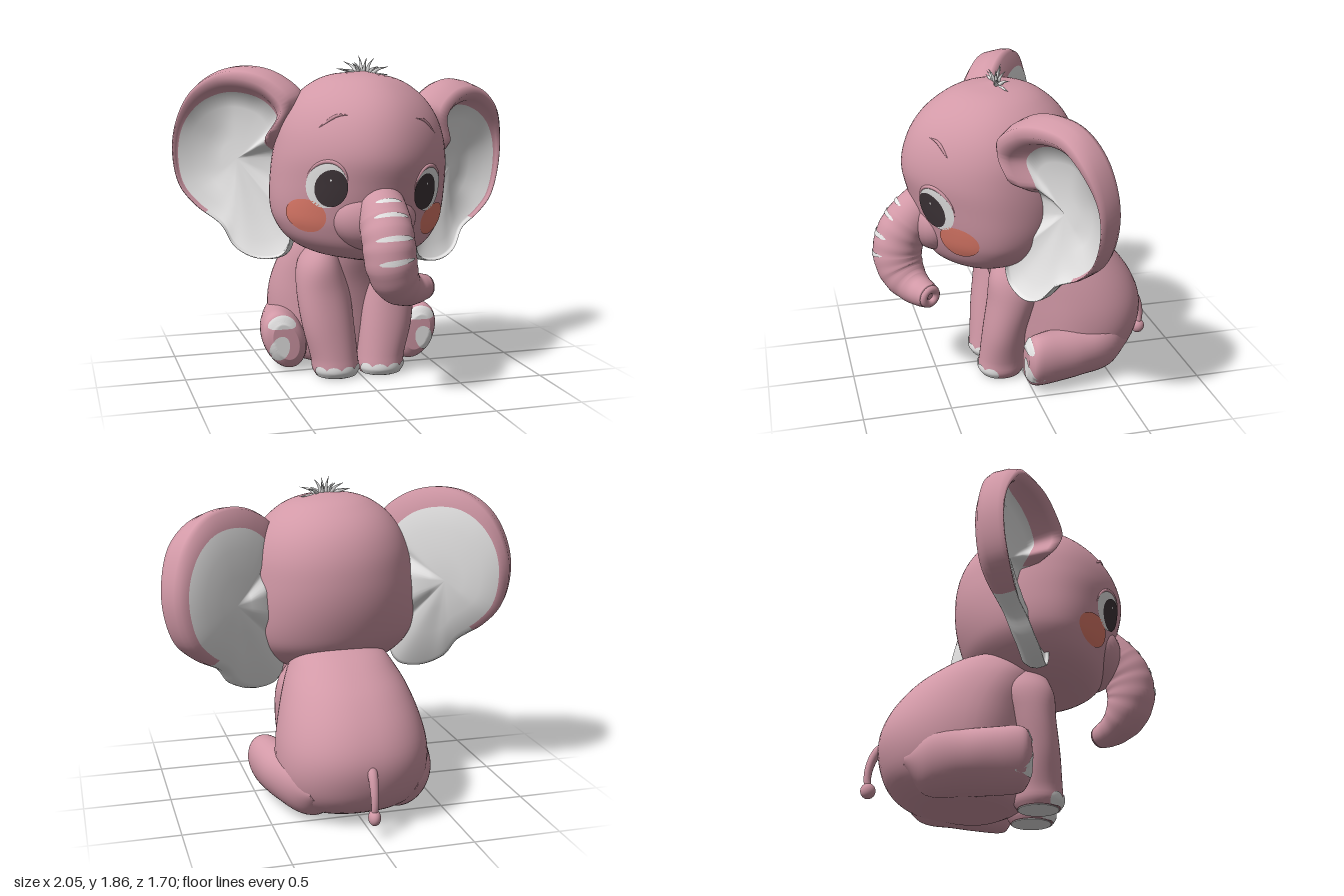
import * as THREE from 'three';
import { mergeVertices } from 'three/addons/utils/BufferGeometryUtils.js';

const V = (x, y, z) => new THREE.Vector3(x, y, z);
const step = THREE.MathUtils.smoothstep;
const mat = (name, color, side = THREE.FrontSide) => {
  const m = new THREE.MeshStandardMaterial({ color, side });
  m.name = name;
  return m;
};

// Skin over rings of points, turned to face outward; paint(i, j) picks a material per quad
function skin(rings, paint) {
  const n = rings[0].length, pts = rings.flat(), index = [], runs = [];
  for (let i = 0; i < rings.length - 1; i++)
    for (let j = 0; j < n; j++) {
      const a = i * n + j, b = i * n + (j + 1) % n;
      if (paint) {
        const m = paint(i, j), last = runs[runs.length - 1];
        if (last && last.m === m) last.count += 6;
        else runs.push({ start: index.length, count: 6, m });
      }
      index.push(a, b, a + n, b, b + n, a + n);
    }
  let volume = 0;
  for (let k = 0; k < index.length; k += 3)
    volume += pts[index[k]].dot(V(0, 0, 0).crossVectors(pts[index[k + 1]], pts[index[k + 2]]));
  if (volume < 0)
    for (let k = 0; k < index.length; k += 3) [index[k], index[k + 1]] = [index[k + 1], index[k]];
  let g = new THREE.BufferGeometry().setFromPoints(pts);
  g.setIndex(index);
  g = mergeVertices(g, 1e-5);
  runs.forEach((r) => g.addGroup(r.start, r.count, r.m));
  g.computeVertexNormals();
  return g;
}

// Smooth interpolation of table rows keyed by their first number
function sample(rows, y) {
  let i = 0;
  while (i < rows.length - 2 && y > rows[i + 1][0]) i++;
  const a = rows[i], b = rows[i + 1], h = b[0] - a[0], t = (y - a[0]) / h;
  const slope = (k, c) => {
    const p = rows[Math.max(k - 1, 0)], q = rows[Math.min(k + 1, rows.length - 1)];
    return (q[c] - p[c]) / (q[0] - p[0]);
  };
  return a.map((_, c) => (2 * t ** 3 - 3 * t * t + 1) * a[c] + (t ** 3 - 2 * t * t + t) * h * slope(i, c)
    + (3 * t * t - 2 * t ** 3) * b[c] + (t ** 3 - t * t) * h * slope(i + 1, c));
}

// Upright form from rows of [y, centre x, half width, front z, back z]
function loft(rows, e = 2, taper = 0) {
  const pow = (v) => Math.sign(v) * Math.abs(v) ** (2 / e);
  const point = (y, a, off = 0) => {
    const [, cx, hx, zf, zb] = sample(rows, y), c = pow(Math.cos(a)), s = pow(Math.sin(a));
    const k = 1 - taper * Math.max(0, s) ** 2;
    return V(cx + (hx + off) * c * k, y, (zf + zb) / 2 + ((zf - zb) / 2 + off) * s);
  };
  const build = (nu = 40, nv = 56) => {
    const y0 = rows[0][0], y1 = rows[rows.length - 1][0], rings = [];
    for (let i = 0; i <= nu; i++) {
      const y = y0 + (y1 - y0) * (1 - Math.cos(Math.PI * i / nu)) / 2;
      rings.push(Array.from({ length: nv }, (_, j) => point(y, j / nv * Math.PI * 2)));
    }
    const pole = (r) => {
      const c = V(0, 0, 0);
      r.forEach((p) => c.addScaledVector(p, 1 / nv));
      return r.map(() => c.clone());
    };
    return skin([pole(rings[0]), ...rings, pole(rings[nu])]);
  };
  return { point, build };
}

// Tapered tube along a curve
function sweep(points, radius) {
  const curve = new THREE.CatmullRomCurve3(points), N = 160, f = curve.computeFrenetFrames(N);
  const point = (t, a, off = 0) => {
    const k = Math.round(t * N), r = radius(t) + off;
    return curve.getPointAt(t).addScaledVector(f.normals[k], r * Math.cos(a)).addScaledVector(f.binormals[k], r * Math.sin(a));
  };
  const build = (nu, nv) => {
    const cap = (t) => Array.from({ length: nv }, () => curve.getPointAt(t));
    const rings = Array.from({ length: nu + 1 }, (_, i) =>
      Array.from({ length: nv }, (_, j) => point(i / nu, j / nv * Math.PI * 2)));
    return skin([cap(0), ...rings, cap(1)]);
  };
  return { point, build };
}

// Thin painted patch: maps the unit disc onto a surface
function patch(fn, rings = 8, n = 36) {
  return skin(Array.from({ length: rings + 1 }, (_, i) => Array.from({ length: n }, (_, j) => {
    const a = j / n * Math.PI * 2, r = i / rings;
    return fn(r * Math.cos(a), r * Math.sin(a));
  })));
}

export function createModel() {
  const model = new THREE.Group();
  model.name = 'babyElephant';
  const pink = mat('pinkSkin', 0xd299a7), white = mat('paleGrey', 0xe7e6e6, THREE.DoubleSide);
  const dark = mat('darkPupil', 0x3f3539, THREE.DoubleSide), blush = mat('blush', 0xe27c6b, THREE.DoubleSide);
  const add = (parent, name, geometry, material) => {
    const m = new THREE.Mesh(geometry, material);
    m.name = name;
    parent.add(m);
    return m;
  };
  const ball = (parent, name, scale, at) => {
    const m = add(parent, name, new THREE.SphereGeometry(1, 32, 24), pink);
    m.scale.set(...scale);
    m.position.set(...at);
  };

  // Body
  add(model, 'body', loft([[0.012, 0, 0.24, -0.02, -0.42], [0.04, 0, 0.32, 0.04, -0.56], [0.12, 0, 0.39, 0.08, -0.68],
    [0.25, 0, 0.43, 0.1, -0.745], [0.4, 0, 0.43, 0.12, -0.76], [0.55, 0, 0.4, 0.15, -0.705], [0.7, 0, 0.35, 0.2, -0.59],
    [0.8, 0, 0.3, 0.22, -0.47], [0.88, 0, 0.24, 0.18, -0.34], [0.93, 0, 0.14, 0.1, -0.2]], 2.25, 0.28).build(), pink);

  // Head, tilted a little to one side
  const tilt = new THREE.Group(), head = new THREE.Group();
  tilt.name = 'headTilt';
  head.name = 'head';
  tilt.position.y = 1.25;
  tilt.rotation.z = -0.065;
  head.position.y = -1.25;
  tilt.add(head);
  model.add(tilt);
  const skull = loft([[0.72, 0, 0.1, 0.38, 0.1], [0.74, 0, 0.25, 0.45, -0.04], [0.8, 0, 0.385, 0.515, -0.15],
    [0.9, 0, 0.47, 0.56, -0.25], [1.0, 0, 0.5, 0.59, -0.3], [1.15, 0, 0.505, 0.63, -0.34], [1.3, 0, 0.495, 0.66, -0.35],
    [1.45, 0, 0.465, 0.63, -0.33], [1.58, 0, 0.4, 0.555, -0.27], [1.68, 0, 0.3, 0.44, -0.17],
    [1.74, 0, 0.175, 0.31, -0.05], [1.765, 0, 0.01, 0.14, 0.12]], 2.05, 0.21);
  add(head, 'skull', skull.build(56, 72), pink);
  ball(head, 'muzzle', [0.24, 0.19, 0.165], [0, 0.98, 0.475]);

  for (const s of [1, -1]) {
    const side = s > 0 ? 'left' : 'right';
    const face = (a, y, off) => {
      const p = skull.point(y, a, off);
      p.x *= s;
      return p;
    };
    const spot = (name, a, y, da, dy, off, m) =>
      add(head, side + name, patch((u, v) => face(a + u * da, y + v * dy, off)), m);
    // Eyes and cheeks
    spot('EyeWhite', 0.87, 1.15, 0.235, 0.126, 0.005, white);
    spot('Pupil', 0.935, 1.135, 0.19, 0.102, 0.009, dark);
    spot('EyeGlint', 0.92, 1.18, 0.011, 0.006, 0.012, white);
    spot('Cheek', 0.64, 0.97, 0.265, 0.092, 0.005, blush);
    // Upper eyelid and brow
    const lid = Array.from({ length: 13 }, (_, i) => {
      const a = -0.2 + i / 12 * 3.5;
      return face(0.87 + 0.24 * Math.cos(a), 1.15 + 0.129 * Math.sin(a), 0);
    });
    add(head, side + 'Eyelid', sweep(lid, (t) => 0.011 * Math.sin(Math.PI * t)).build(40, 8), pink);
    add(head, side + 'Brow', sweep([face(1.04, 1.53, 0), face(0.88, 1.52, 0), face(0.68, 1.45, 0)],
      (t) => 0.01 * Math.sin(Math.PI * t)).build(20, 8), pink);

    // Ear: outline points hold x, y and the size of the rolled rim
    const outline = new THREE.CatmullRomCurve3([V(0.35, 1.6, 0.1), V(0.46, 1.71, 0.095), V(0.6, 1.755, 0.09),
      V(0.76, 1.73, 0.075), V(0.885, 1.62, 0.05), V(0.965, 1.44, 0.024), V(0.985, 1.25, 0.015), V(0.94, 1.05, 0.012),
      V(0.845, 0.93, 0.012), V(0.71, 0.83, 0.012), V(0.63, 0.72, 0.012), V(0.51, 0.665, 0.012), V(0.4, 0.69, 0.012),
      V(0.36, 0.79, 0.012), V(0.42, 1.0, 0.015), V(0.44, 1.25, 0.025), V(0.4, 1.44, 0.09)], true);
    const n = 102, rings = Array.from({ length: 15 }, () => []);
    for (let j = 0; j < n; j++) {
      const p = outline.getPoint(j / n), r = p.z;
      const dx = 0.68 - p.x, dy = 1.22 - p.y, L = Math.hypot(dx, dy);
      const inner = (f) => 2.2 * r + (L - 2.2 * r) * f;
      // The lower lobe swings forward, the inner edge folds back, the outer rim is thick
      const lobe = 0.05 * step(1 - p.y, 0, 0.3) * step(p.x, 0.35, 0.6);
      const fold = -0.09 * step(0.62 - p.x, 0, 0.15) * step(p.y, 0.85, 1.1) * (1 - step(p.y, 1.28, 1.45));
      const lift = 0.055 * step(p.x, 0.72, 0.95);
      [[L, -0.035], [inner(0.7), -0.035], [inner(0.4), -0.03], [inner(0.15), -0.015], [1.8 * r, 0.005],
        [1.4 * r, r + 0.005], [0.9 * r, 1.4 * r + 0.015], [0.4 * r, 1.1 * r + 0.015], [0.08 * r, 0.3 * r], [0, -0.03],
        [0.012, -0.065], [0.03 + 0.9 * r, -0.095], [L * 0.42, -0.115], [L * 0.7, -0.125], [L, -0.125]].forEach(([d, w], i) => {
        const out = w + (lobe + fold) * (1 - d / L) + (i > 2 && i < 9 ? lift * (1 - d / L) : 0);
        const x = p.x + dx / L * d, y = p.y + dy / L * d;
        rings[i].push(V(s * (x + 0.527 * out), y, 0.1 - 0.62 * (x - 0.4) + 0.85 * out));
      });
    }
    // The rim is pink over the top and outer side, pale around the lobe
    const earPaint = (i, j) => (i >= 4 && i < 11 && (j < n * 8.2 / 17 || j > n * 15.3 / 17) ? 1 : 0);
    add(head, side + 'Ear', skin(rings, earPaint), [white, pink]);

    // Front leg with sole and toenails
    const leg = loft([[0.004, 0.135, 0.118, 0.24, 0.005], [0.04, 0.137, 0.136, 0.26, -0.015], [0.1, 0.142, 0.138, 0.255, -0.02],
      [0.3, 0.177, 0.153, 0.238, -0.015], [0.5, 0.197, 0.155, 0.215, -0.075], [0.65, 0.205, 0.132, 0.205, -0.14],
      [0.78, 0.18, 0.08, 0.16, -0.1]].map(([y, cx, ...r]) => [y, cx * s, ...r]), 2.1);
    add(model, side + 'FrontLeg', leg.build(32, 40), pink);
    add(model, side + 'FrontSole', new THREE.CylinderGeometry(0.113, 0.113, 0.006, 40), white).position.set(s * 0.135, 0.003, 0.122);
    for (let i = -1.5; i <= 1.5; i++)
      add(model, side + 'Toenail', patch((u, v) =>
        leg.point(Math.max(0.005, 0.03 + v * 0.045), Math.PI / 2 + i * 0.6 + u * 0.36, 0.005)), white);

    // Hind leg pointing forward: rows of [z, centre x, half width, bottom y, top y]
    const hind = [[-0.62, 0.26, 0.05, 0.16, 0.24], [-0.5, 0.28, 0.14, 0.03, 0.35], [-0.3, 0.33, 0.165, 0.015, 0.355],
      [-0.15, 0.375, 0.15, 0.012, 0.36], [-0.04, 0.405, 0.13, 0.014, 0.362], [0.01, 0.41, 0.115, 0.03, 0.345],
      [0.038, 0.41, 0.075, 0.08, 0.295]];
    const lean = (x, y) => x + 0.2 * (y - 0.19);
    const hindGeo = loft(hind.map(([z, cx, hx, lo, hi]) => [z, cx, hx, -lo, -hi])).build(32, 40).rotateX(Math.PI / 2);
    const pos = hindGeo.attributes.position;
    for (let i = 0; i < pos.count; i++) pos.setX(i, s * lean(pos.getX(i), pos.getY(i)));
    if (s < 0) hindGeo.setIndex(Array.from(hindGeo.index.array).reverse());
    hindGeo.computeVertexNormals();
    add(model, side + 'HindLeg', hindGeo, pink);
    // Pads follow the front of the hind foot
    const footPoint = (x, y) => {
      let z = 0.038;
      for (; z > -0.06; z -= 0.0005) {
        const [, cx, hx, lo, hi] = sample(hind, z);
        if (((x - lean(cx, y)) / hx) ** 2 + ((y - (lo + hi) / 2) / ((hi - lo) / 2)) ** 2 < 1) break;
      }
      return V(s * x, y, z + 0.006);
    };
    add(model, side + 'FootPad', patch((u, v) => footPoint(0.449 + u * 0.058 - v * 0.012, 0.15 + v * 0.074)), white);
    add(model, side + 'ToePad', patch((u, v) => footPoint(0.432 + u * 0.085, 0.306 + v * 0.039 - 0.02 * u * u)), white);
  }

  // Trunk, curling to the left at the tip, with wrinkles and pale stripes
  const radii = [[0, 0.1], [0.32, 0.137], [0.475, 0.142], [0.61, 0.14], [0.73, 0.126], [0.855, 0.097], [1, 0.07]];
  const trunk = sweep([V(0, 1.2, 0.4), V(0, 1, 0.605), V(0, 0.88, 0.685), V(0.01, 0.76, 0.705), V(0.05, 0.665, 0.68),
    V(0.13, 0.607, 0.63), V(0.25, 0.593, 0.565)],
  (t) => sample(radii, t)[1] * (1 + (t > 0.35 ? 0.009 * Math.sin(t * 75) : 0)));
  add(model, 'trunk', trunk.build(100, 40), pink);
  for (const [t, spread] of [[0.3, 0.55], [0.385, 0.72], [0.485, 0.8], [0.58, 0.75]])
    add(model, 'trunkStripe', patch((u, v) => trunk.point(t + v * 0.0115, -Math.PI / 2 + u * spread, 0.005)), white);
  const rim = add(model, 'nostrilRim', new THREE.TorusGeometry(0.044, 0.024, 12, 28), pink);
  rim.position.set(0.25, 0.593, 0.565);
  rim.lookAt(0.37, 0.58, 0.5);

  // Hair tuft
  for (let i = 0; i < 13; i++) {
    const x = -0.16 + i / 12 * 0.32, z = 0.115 + 0.05 * Math.sin(i * 2.4);
    const top = 1.85 - 0.5 * Math.abs(x) + 0.018 * Math.sin(i * 4.1);
    add(head, 'hairLock', sweep([V(x * 0.35, 1.745, 0.12), V(x * 0.55, 1.745 + (top - 1.745) * 0.6, (z + 0.12) / 2), V(x, top, z)],
      (t) => 0.015 * (1 - t) + 0.0005).build(10, 6), white);
  }

  // Tail with a rounded tip
  add(model, 'tail', sweep([V(0, 0.38, -0.72), V(0, 0.34, -0.765), V(0, 0.26, -0.8), V(0, 0.18, -0.81), V(0, 0.12, -0.8)],
    (t) => 0.03 - 0.012 * t).build(30, 14), pink);
  ball(model, 'tailTip', [0.034, 0.045, 0.042], [0, 0.115, -0.803]);
  return model;
}
